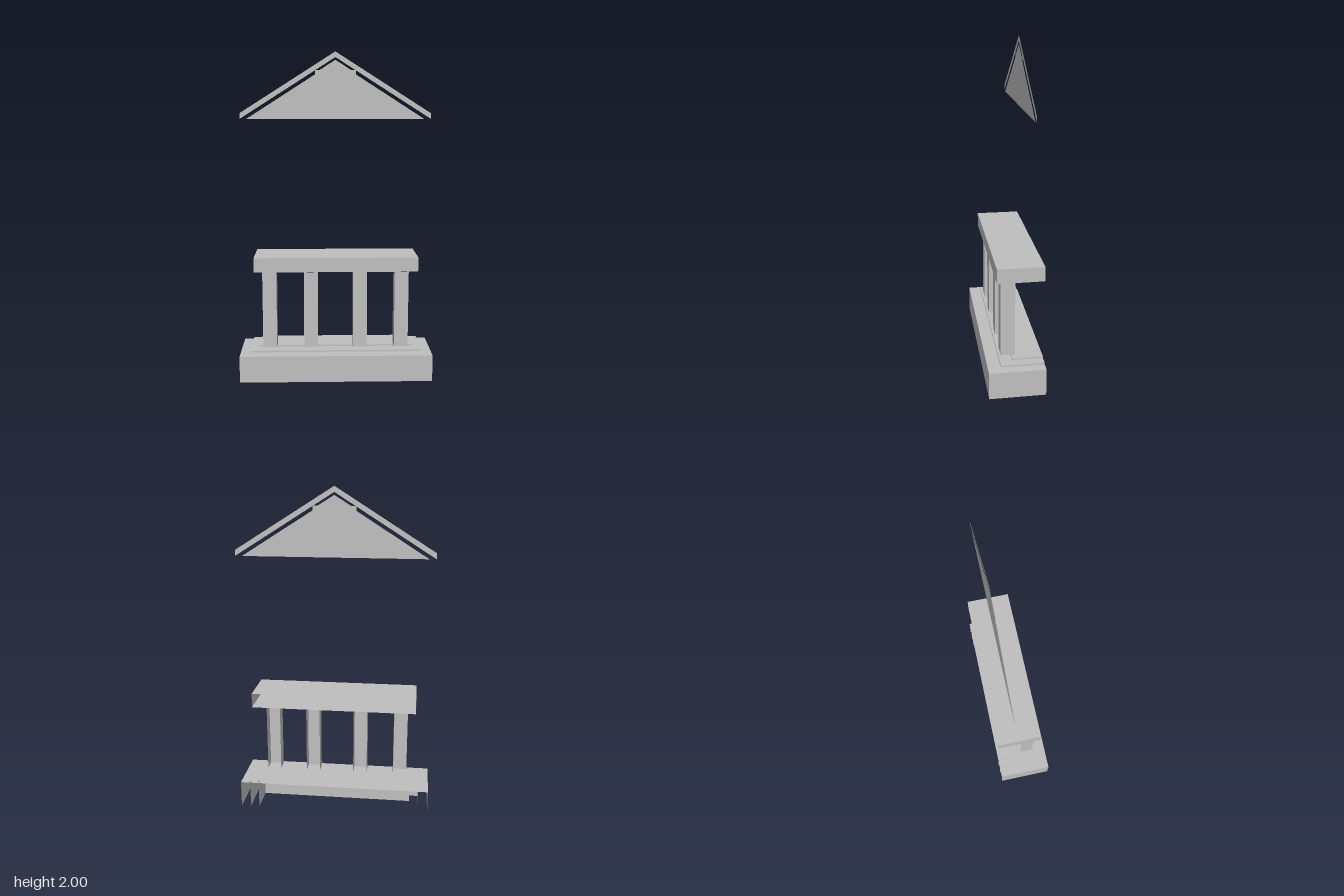
import * as THREE from 'three';

const stone = new THREE.MeshStandardMaterial({ color: 0xc0c0c0, side: THREE.DoubleSide });
stone.name = 'grey stone';

// Open-sided block made of thin sheets; faces lists the sides that exist
function shell(name, [x0, x1], [y0, y1], [z0, z1], faces) {
  const group = new THREE.Group();
  group.name = name;
  const w = x1 - x0, h = y1 - y0, d = z1 - z0;
  const cx = (x0 + x1) / 2, cy = (y0 + y1) / 2, cz = (z0 + z1) / 2;
  const specs = {
    front: [w, h, 0, 0, cx, cy, z1],
    left: [d, h, 0, Math.PI / 2, x1, cy, cz],
    right: [d, h, 0, -Math.PI / 2, x0, cy, cz],
    top: [w, d, -Math.PI / 2, 0, cx, y1, cz],
    bottom: [w, d, Math.PI / 2, 0, cx, y0, cz],
  };
  for (const face of faces) {
    const [a, b, rx, ry, x, y, z] = specs[face];
    const mesh = new THREE.Mesh(new THREE.PlaneGeometry(a, b), stone);
    mesh.name = `${name} ${face}`;
    mesh.rotation.set(rx, ry, 0);
    mesh.position.set(x, y, z);
    group.add(mesh);
  }
  return group;
}

// Flat upright plate from an outline
function plate(name, points, z) {
  const shape = new THREE.Shape(points.map(([x, y]) => new THREE.Vector2(x, y)));
  const mesh = new THREE.Mesh(new THREE.ShapeGeometry(shape), stone);
  mesh.name = name;
  mesh.position.z = z;
  return mesh;
}

// Completes a right-half outline (bottom to apex) with its mirror image
const mirrored = (half) => [...half, ...half.slice(0, -1).reverse().map(([x, y]) => [-x, y])];

export function createModel() {
  const model = new THREE.Group();
  model.name = 'temple front';
  const back = -0.167;
  const sides = ['front', 'left', 'right'];

  // Stepped base, open at the back and underneath
  [[0.59, 0.165, 0.167], [0.53, 0.175, 0.09], [0.475, 0.185, 0.015]].forEach(([x, top, z], i) => {
    model.add(shell(`base step ${i + 1}`, [-x, x], [0, top], [back, z], [...sides, 'top']));
  });

  // Columns, open at the back
  [-0.408, -0.154, 0.148, 0.403].forEach((x, i) => {
    model.add(shell(`column ${i + 1}`, [x - 0.043, x + 0.043], [0.195, 0.67], [-0.005, 0.08], sides));
  });

  // Beam over the columns, open at the back
  model.add(shell('beam', [-0.5, 0.5], [0.677, 0.765], [back, 0.108], [...sides, 'top', 'bottom']));

  // Gable panel with small shoulders near the apex
  const gable = [[0.547, 1.595], [0.125, 1.863], [0.125, 1.89], [0.095, 1.89], [0, 1.95]];
  model.add(plate('gable panel', mirrored(gable), -0.09));

  // Sloping roof band above the gable
  const outer = mirrored([[0.588, 1.595], [0.588, 1.63], [0, 2]]);
  model.add(plate('roof band', [...outer, [0, 1.966]], -0.09));

  return model;
}
